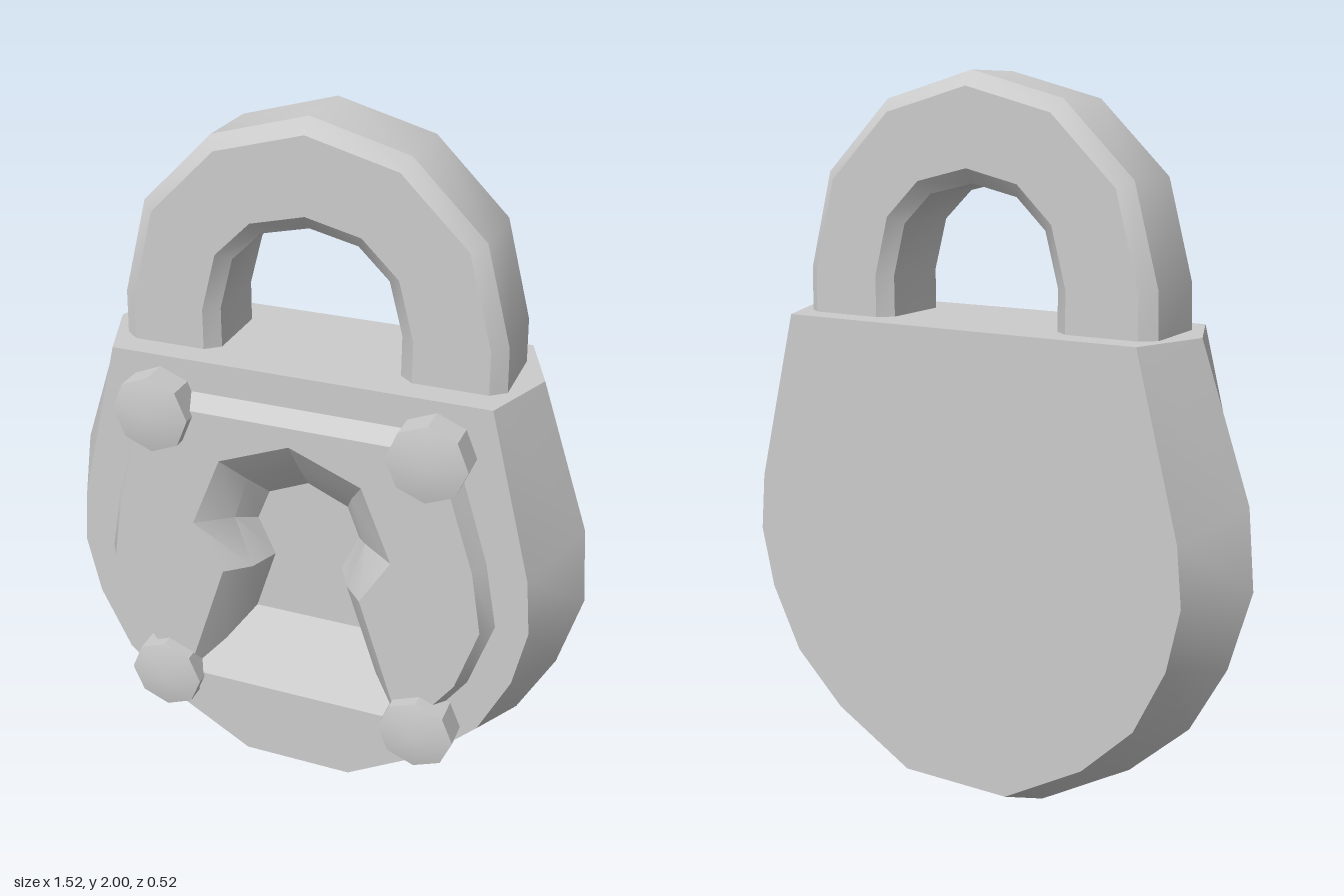
import * as THREE from 'three';
import { toCreasedNormals } from 'three/addons/utils/BufferGeometryUtils.js';

const material = new THREE.MeshStandardMaterial({ color: 0xcccccc });

// Full counter-clockwise outline from its right half, listed bottom to top
function mirror(half) {
  const left = half.filter(([x]) => x > 0).map(([x, y]) => [-x, y]).reverse();
  return [...half, ...left];
}

const atDepth = (outline, z) => outline.map(([x, y]) => [x, y, z]);

// Skin through a series of closed rings, sharp edges kept
function loft(rings, crease = 0.6) {
  const n = rings[0].length;
  const index = [];
  for (let i = 0; i < rings.length - 1; i++) {
    for (let j = 0; j < n; j++) {
      const k = (j + 1) % n;
      const a = i * n + j, b = i * n + k, c = a + n, d = b + n;
      index.push(a, b, d, a, d, c);
    }
  }
  const geometry = new THREE.BufferGeometry();
  geometry.setAttribute('position', new THREE.Float32BufferAttribute(rings.flat(2), 3));
  geometry.setIndex(index);
  return toCreasedNormals(geometry, crease);
}

// Flat face looking to +z, optionally with a hole
function face(outline, z, hole) {
  const points = (list) => list.map(([x, y]) => new THREE.Vector2(x, y));
  const shape = new THREE.Shape(points(outline));
  if (hole) shape.holes.push(new THREE.Path(points(hole)));
  return new THREE.ShapeGeometry(shape).translate(0, 0, z);
}

function add(parent, name, geometry) {
  const mesh = new THREE.Mesh(geometry, material);
  mesh.name = name;
  parent.add(mesh);
  return mesh;
}

export function createModel() {
  const model = new THREE.Group();
  model.name = 'padlock';

  // Outlines
  const bodyRim = mirror([[0.16, 0], [0.43, 0.16], [0.6, 0.32], [0.7, 0.51], [0.76, 0.73], [0.74, 0.95], [0.6, 1.36]]);
  const bodyFace = mirror([[0.16, 0.1], [0.39, 0.235], [0.535, 0.38], [0.62, 0.56], [0.655, 0.73], [0.64, 0.89], [0.52, 1.36]]);
  const plateBase = mirror([[0.13, 0.195], [0.36, 0.33], [0.5, 0.53], [0.565, 0.73], [0.53, 0.92], [0.42, 1.27]]);
  const plateTop = mirror([[0.12, 0.22], [0.34, 0.35], [0.475, 0.54], [0.535, 0.73], [0.505, 0.91], [0.4, 1.235]]);
  const holeOuter = mirror([[0.32, 0.38], [0.2, 0.75], [0.285, 0.89], [0.2, 1.1], [0, 1.18]]);
  const holeMiddle = mirror([[0.23, 0.47], [0.14, 0.74], [0.19, 0.89], [0.15, 1.02], [0, 1.085]]);
  const holeInner = mirror([[0.16, 0.56], [0.1, 0.75], [0.15, 0.86], [0.115, 0.95], [0, 1.0]]);

  // Body: widest at mid depth, bevelled to front and back
  const body = new THREE.Group();
  body.name = 'body';
  model.add(body);
  add(body, 'bodySides', loft([atDepth(bodyFace, -0.26), atDepth(bodyRim, -0.053), atDepth(bodyFace, 0.155)]));
  add(body, 'bodyFront', face(bodyFace, 0.155, plateBase));
  add(body, 'bodyBack', face(bodyFace, 0.26).rotateY(Math.PI));

  // Raised front plate with bevelled edge
  const plate = new THREE.Group();
  plate.name = 'frontPlate';
  model.add(plate);
  add(plate, 'plateBevel', loft([atDepth(plateBase, 0.155), atDepth(plateTop, 0.2)]));
  add(plate, 'plateFace', face(plateTop, 0.2, holeOuter));

  // Keyhole stepping inwards
  add(plate, 'keyholeWalls', loft([atDepth(holeOuter, 0.2), atDepth(holeMiddle, 0.13), atDepth(holeInner, 0.06)], 0.45));
  add(plate, 'keyholeFloor', face(holeInner, 0.06));

  // Eight-sided bolts with shallow pointed heads
  const profile = [[0.108, 0], [0.108, 0.08], [0, 0.105]].map(([r, y]) => new THREE.Vector2(r, y));
  const boltGeometry = toCreasedNormals(new THREE.LatheGeometry(profile, 8).rotateX(Math.PI / 2), 0.5);
  for (const x of [-0.38, 0.38]) {
    for (const y of [0.37, 1.22]) {
      add(model, 'bolt', boltGeometry).position.set(x, y, 0.153);
    }
  }

  // Shackle: chamfered section swept between an inner and an outer arch
  const rightLeg = [ // inner x, y, outer x, y
    [0.25, 1.3, 0.53, 1.3], [0.25, 1.47, 0.525, 1.48], [0.213, 1.61, 0.455, 1.74],
    [0.13, 1.69, 0.26, 1.93], [0, 1.72, 0, 2],
  ];
  const arch = [...rightLeg, ...rightLeg.slice(0, -1).reverse().map(([a, b, c, d]) => [-a, b, -c, d])];
  const section = [ // inner-to-outer fraction, depth
    [0.86, 0.132], [1, 0.1], [1, -0.1], [0.86, -0.132],
    [0.14, -0.132], [0, -0.1], [0, 0.1], [0.14, 0.132],
  ];
  const rings = arch.map(([ix, iy, ox, oy]) =>
    section.map(([t, z]) => [ix + (ox - ix) * t, iy + (oy - iy) * t, z - 0.053]));
  add(model, 'shackle', loft(rings));

  return model;
}
